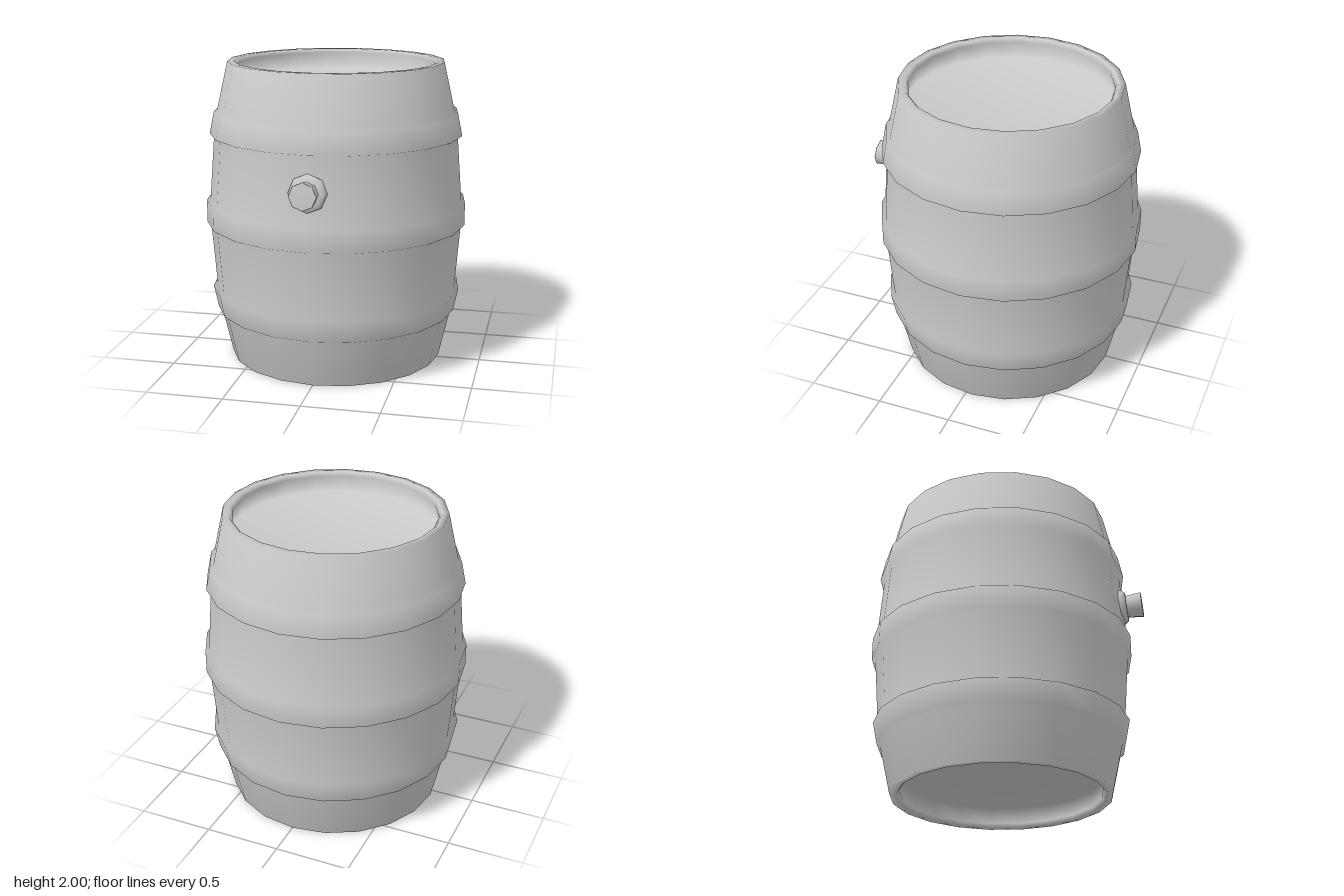
import * as THREE from 'three';

const material = new THREE.MeshStandardMaterial({ color: 0xcccccc });

// Smooth-shaded turned part from [radius, height] pairs
function turned(name, profile, sides) {
  const points = profile.map(([r, y]) => new THREE.Vector2(r, y));
  const mesh = new THREE.Mesh(new THREE.LatheGeometry(points, sides), material);
  mesh.name = name;
  return mesh;
}

export function createModel() {
  const model = new THREE.Group();
  model.name = 'barrel';

  // Lower half of the cask: sunken lid, undercut wall, rim, stave, hoop, stave, half the middle hoop
  const lower = [
    [0, 0.14], [0.67, 0.14], [0.652, 0.025], [0.672, 0], [0.715, 0],
    [0.787, 0.315], [0.81, 0.33], [0.84, 0.475], [0.812, 0.49],
    [0.845, 0.91], [0.87, 0.925],
  ];
  const upper = lower.map(([r, y]) => [r, 2 - y]).reverse();
  const cask = turned('cask', [...lower, ...upper], 20);
  cask.position.z = -0.046;
  model.add(cask);

  // Bung on the front, square to the sloping staves
  const bung = new THREE.Group();
  bung.name = 'bung';
  bung.add(turned('bungCollar', [[0.122, -0.02], [0.122, 0.01], [0.1, 0.036], [0.06, 0.036]], 8));
  bung.add(turned('bungPlug', [[0.074, 0.02], [0.088, 0.136], [0.084, 0.14], [0, 0.14]], 8));
  bung.position.set(0, 1.288, 0.775);
  bung.rotation.x = Math.PI / 2 - 0.075;
  model.add(bung);

  return model;
}
